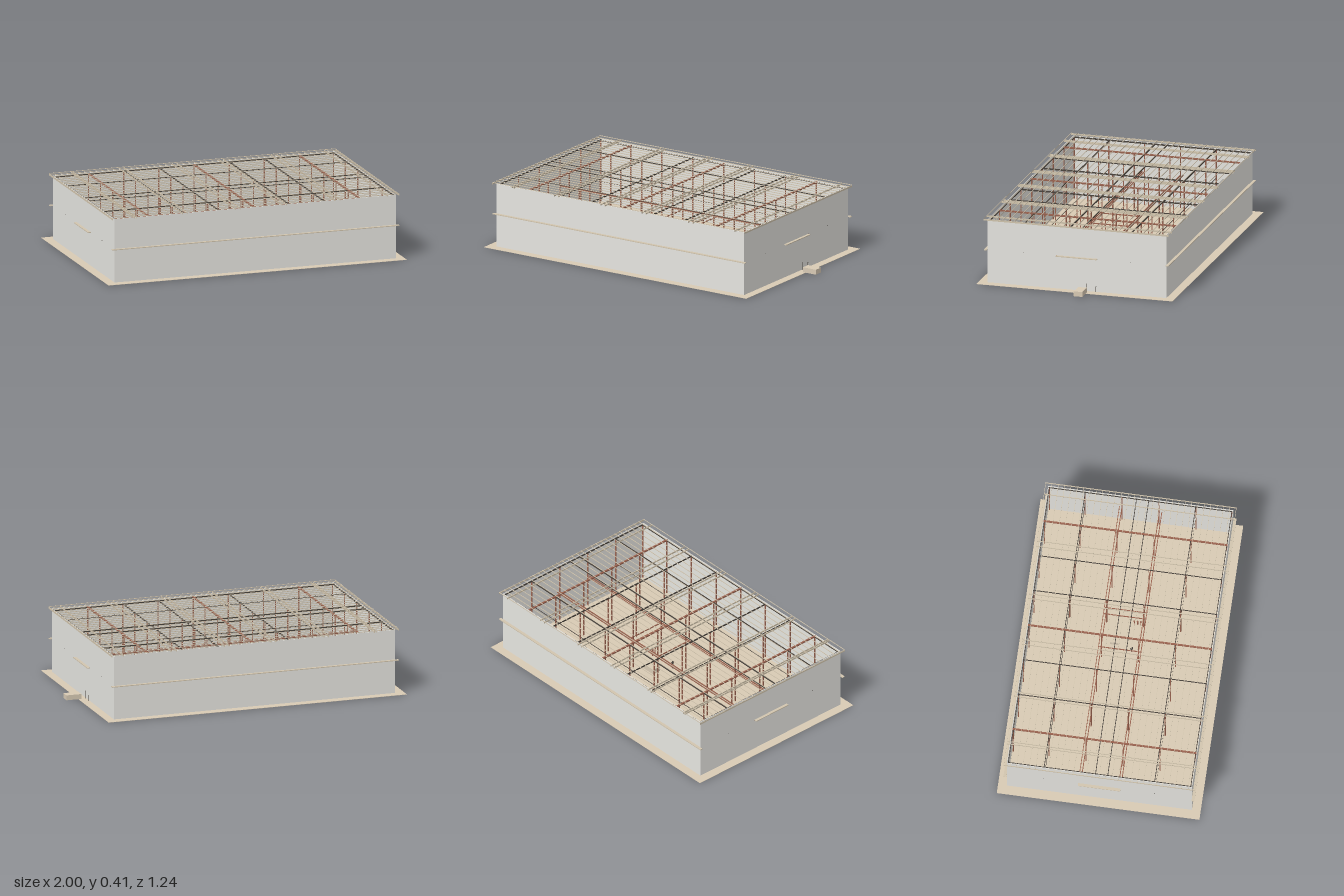
import * as THREE from 'three';

const mat = (name, color) => {
  const m = new THREE.MeshStandardMaterial({ color });
  m.name = name;
  return m;
};

export function createModel() {
  const model = new THREE.Group();
  model.name = 'warehouseFrame';
  const tan = mat('tan', 0xd8cab4);
  const grey = mat('wallGrey', 0xe6e5e0);
  const rust = mat('rustSteel', 0x9a6350);
  const dark = mat('darkSteel', 0x4a443e);
  const wood = mat('roofTimber', 0xd2c5ae);

  // Box given by its limits on each axis
  const box = (parent, name, m, x0, x1, y0, y1, z0, z1) => {
    const mesh = new THREE.Mesh(new THREE.BoxGeometry(x1 - x0, y1 - y0, z1 - z0), m);
    mesh.position.set((x0 + x1) / 2, (y0 + y1) / 2, (z0 + z1) / 2);
    mesh.name = name;
    parent.add(mesh);
  };
  const group = (name) => {
    const g = new THREE.Group();
    g.name = name;
    model.add(g);
    return g;
  };

  const L = -0.943, R = 0.868, D = 0.568, H = 0.4, T = 0.003, floorY = 0.002;
  const overL = -0.962, overR = 0.885, overD = 0.587;

  // Bars of width w along x or z
  const barX = (g, name, m, z, y0, y1, w, x0 = L, x1 = R) => box(g, name, m, x0, x1, y0, y1, z - w / 2, z + w / 2);
  const barZ = (g, name, m, x, y0, y1, w, z0 = -D, z1 = D) => box(g, name, m, x - w / 2, x + w / 2, y0, y1, z0, z1);

  // Ground slab
  box(model, 'slab', tan, -1, 0.92, 0, floorY, -0.622, 0.622);

  // Thin outer walls
  const walls = group('walls');
  box(walls, 'frontWall', grey, L, R, floorY, H, D - T, D);
  box(walls, 'backWall', grey, L, R, floorY, H, -D, -D + T);
  box(walls, 'leftWall', grey, R - T, R, floorY, H, -D + T, D - T);
  box(walls, 'rightWall', grey, L, L + T, floorY, H, -D + T, D - T);

  // Ledges at mid height: full length front and back, short on the ends
  const ledges = group('ledges');
  for (const s of [-1, 1]) barX(ledges, 'longLedge', wood, s * 0.577, 0.208, 0.213, 0.018, overL, overR);
  barZ(ledges, 'endLedge', wood, 0.877, 0.208, 0.213, 0.018, -0.13, 0.13);
  barZ(ledges, 'endLedge', wood, -0.952, 0.208, 0.213, 0.018, -0.13, 0.13);

  // Column grid with beams
  const frame = group('steelFrame');
  const bay = (R - L) / 8;
  for (let i = 0; i <= 8; i++) {
    const x = THREE.MathUtils.clamp(L + i * bay, L + 0.008, R - 0.008);
    for (let j = 0; j <= 5; j++) {
      const z = THREE.MathUtils.clamp(-D + j * 0.2272, -D + 0.008, D - 0.008);
      box(frame, 'column', rust, x - 0.003, x + 0.003, floorY, 0.388, z - 0.003, z + 0.003);
    }
    const main = i % 3 === 1;
    barZ(frame, 'crossBeam', main ? rust : dark, x, 0.388, 0.397, main ? 0.01 : 0.003, -D + T, D - T);
  }
  for (const z of [-0.56, -0.34, -0.025, 0.05, 0.338, 0.56])
    barX(frame, 'longBeam', dark, z, 0.386, 0.393, 0.004, L + T, R - T);
  for (const s of [-1, 1]) {
    barX(frame, 'middleBeam', dark, s * 0.34, 0.209, 0.212, 0.003, L - 0.003, R + 0.003);
    for (const z of [0.115, 0.13])
      barX(frame, 'walkwayBeam', rust, s * z, 0.207, 0.213, 0.005, L, R);
  }
  for (const x of [-0.05, 0.165, 0.205]) barZ(frame, 'walkwayCrossBeam', rust, x, 0.207, 0.213, 0.005, -0.13, 0.13);

  // Open roof lattice
  const roof = group('roofLattice');
  for (const x of [overL + 0.0015, -0.82, -0.805, -0.51, -0.48, -0.17, -0.14, 0.13, 0.16, 0.47, 0.505, 0.81, overR - 0.0015])
    barZ(roof, 'rafter', wood, x, 0.398, 0.408, 0.003, -overD, overD);
  const purlins = 30;
  for (let i = 0; i <= purlins; i++)
    barX(roof, 'purlin', wood, -0.585 + (1.17 * i) / purlins, 0.408, 0.412, 0.0025, overL, overR);

  // Blocks: one outside the end wall, one on the floor inside
  box(model, 'outerBlock', tan, 0.905, 1, 0.004, 0.035, -0.074, -0.019);
  box(model, 'innerBlock', tan, 0.05, 0.143, floorY, 0.035, -0.074, -0.019);

  // Small standing markers on the floor and by the end wall
  const marker = (x, z, m, h, r) => {
    const g = group('marker');
    g.position.set(x, floorY, z);
    const post = new THREE.Mesh(new THREE.CylinderGeometry(r, r, h, 8), m);
    post.position.y = h / 2;
    post.name = 'markerPost';
    const top = new THREE.Mesh(new THREE.SphereGeometry(r * 1.6, 8, 6), m);
    top.position.y = h;
    top.name = 'markerTop';
    g.add(post, top);
  };
  marker(0.02, 0.06, dark, 0.045, 0.004);
  marker(0.035, 0.066, dark, 0.03, 0.003);
  for (const z of [0.055, 0.075, 0.095]) marker(0.2, z, rust, 0.045, 0.004);
  marker(0.873, -0.065, dark, 0.047, 0.0015);
  marker(0.873, -0.122, dark, 0.034, 0.0015);

  return model;
}
